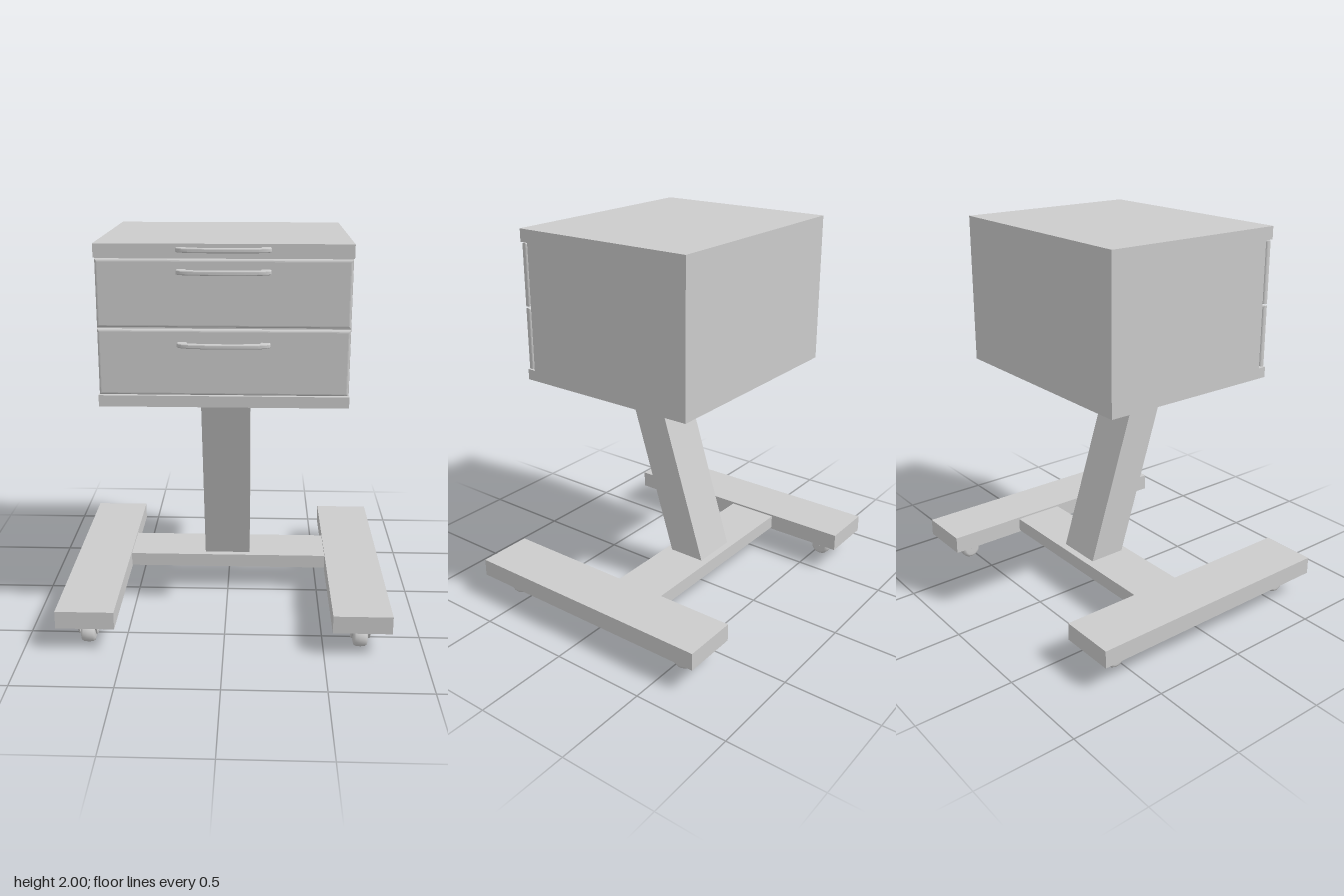
import * as THREE from 'three';

const mat = new THREE.MeshStandardMaterial({ color: 0xcccccc });
const flatMat = new THREE.MeshStandardMaterial({ color: 0xcccccc, flatShading: true });

function add(parent, name, geo, x = 0, y = 0, z = 0, material = mat) {
  const mesh = new THREE.Mesh(geo, material);
  mesh.name = name;
  mesh.position.set(x, y, z);
  parent.add(mesh);
  return mesh;
}

// Box given by its limits on each axis
function block(parent, name, [x0, x1], [y0, y1], [z0, z1]) {
  return add(parent, name, new THREE.BoxGeometry(x1 - x0, y1 - y0, z1 - z0),
    (x0 + x1) / 2, (y0 + y1) / 2, (z0 + z1) / 2);
}

// Side profile of [z, y] points, extruded across x and centred on x = 0
function sideProfile(points, width) {
  const shape = new THREE.Shape(points.map(([z, y]) => new THREE.Vector2(z, y)));
  return new THREE.ExtrudeGeometry(shape, { depth: width, bevelEnabled: false })
    .translate(0, 0, -width / 2).rotateY(-Math.PI / 2);
}

// Bowed pull with wide feet, drawn in plan and given rounded edges
function handleGeometry() {
  const s = new THREE.Shape();
  const b = 0.006;
  s.moveTo(-0.212, 0);
  s.lineTo(-0.212, 0.018);
  s.quadraticCurveTo(-0.205, 0.034, -0.16, 0.042);
  s.quadraticCurveTo(0, 0.062, 0.16, 0.042);
  s.quadraticCurveTo(0.205, 0.034, 0.212, 0.018);
  s.lineTo(0.212, 0);
  s.lineTo(0.176, 0);
  s.lineTo(0.172, 0.026);
  s.quadraticCurveTo(0, 0.05, -0.172, 0.026);
  s.lineTo(-0.176, 0);
  return new THREE.ExtrudeGeometry(s, {
    depth: 0.01, bevelThickness: b, bevelSize: b, bevelSegments: 4, curveSegments: 20,
  }).translate(0, 0, -0.005).rotateX(Math.PI / 2);
}

// Drawer front with softened edges; z runs from 0 to 0.032
function drawerGeometry(w, h) {
  const b = 0.012, x = w / 2 - b, y = h / 2 - b;
  const s = new THREE.Shape([
    new THREE.Vector2(-x, -y), new THREE.Vector2(x, -y),
    new THREE.Vector2(x, y), new THREE.Vector2(-x, y),
  ]);
  return new THREE.ExtrudeGeometry(s, {
    depth: 0.032 - 2 * b, bevelThickness: b, bevelSize: b, bevelSegments: 4,
  }).translate(0, 0, b);
}

function makeCaster() {
  const caster = new THREE.Group();
  caster.name = 'caster';

  // Crowned wheel on its axle
  const profile = [
    [0, -0.036], [0.035, -0.036], [0.046, -0.033], [0.053, -0.022], [0.055, 0],
    [0.053, 0.022], [0.046, 0.033], [0.035, 0.036], [0, 0.036],
  ].map(([r, y]) => new THREE.Vector2(r, y));
  add(caster, 'wheel', new THREE.LatheGeometry(profile, 28).rotateZ(Math.PI / 2), 0, 0.055, 0);
  add(caster, 'axle', new THREE.CylinderGeometry(0.01, 0.01, 0.096, 12).rotateZ(Math.PI / 2), 0, 0.06, 0);

  // Fork cheeks and mounting plate
  const cheek = sideProfile([
    [-0.113, 0.13], [-0.113, 0.122], [-0.028, 0.052], [-0.012, 0.043],
    [0.008, 0.043], [0.022, 0.052], [0.07, 0.122], [0.07, 0.13],
  ], 0.008);
  for (const side of [-1, 1]) add(caster, 'forkCheek', cheek, side * 0.043, 0, 0);
  block(caster, 'mountingPlate', [-0.047, 0.047], [0.116, 0.131], [-0.105, 0.064]);
  return caster;
}

export function createModel() {
  const model = new THREE.Group();
  model.name = 'drawerTrolley';

  // Cabinet body with projecting top and bottom lips
  add(model, 'cabinet', sideProfile([
    [-0.475, 1.23], [0.52, 1.23], [0.52, 1.285], [0.475, 1.285],
    [0.475, 1.935], [0.52, 1.935], [0.52, 2], [-0.475, 2],
  ], 1.19), -0.003, 0, 0, flatMat);

  // Two drawer fronts, each on a smaller backing slab
  for (const y of [1.447, 1.772]) {
    add(model, 'drawerFront', drawerGeometry(1.18, 0.317), -0.003, y, 0.488);
    block(model, 'drawerBacking', [-0.575, 0.57], [y - 0.142, y + 0.142], [0.47, 0.492]);
  }

  // Handles on the top lip and the drawers
  const handle = handleGeometry();
  for (const y of [1.975, 1.874, 1.535]) add(model, 'handle', handle, -0.002, y, 0.52);

  // Slanted post
  add(model, 'post', sideProfile([
    [-0.24, 0.2], [-0.04, 0.2], [0.287, 1.235], [0.09, 1.235],
  ], 0.248), -0.002, 0, 0, flatMat);

  // H-shaped base on four casters
  block(model, 'crossBeam', [-0.545, 0.545], [0.14, 0.212], [-0.275, 0]);
  for (const side of [-1, 1]) {
    const x = side * 0.6865;
    block(model, 'foot', [x - 0.1465, x + 0.1465], [0.13, 0.222], [-0.695, 0.695]);
    for (const z of [0.58, -0.54]) {
      const caster = makeCaster();
      caster.position.set(x, 0, z);
      model.add(caster);
    }
  }
  return model;
}
